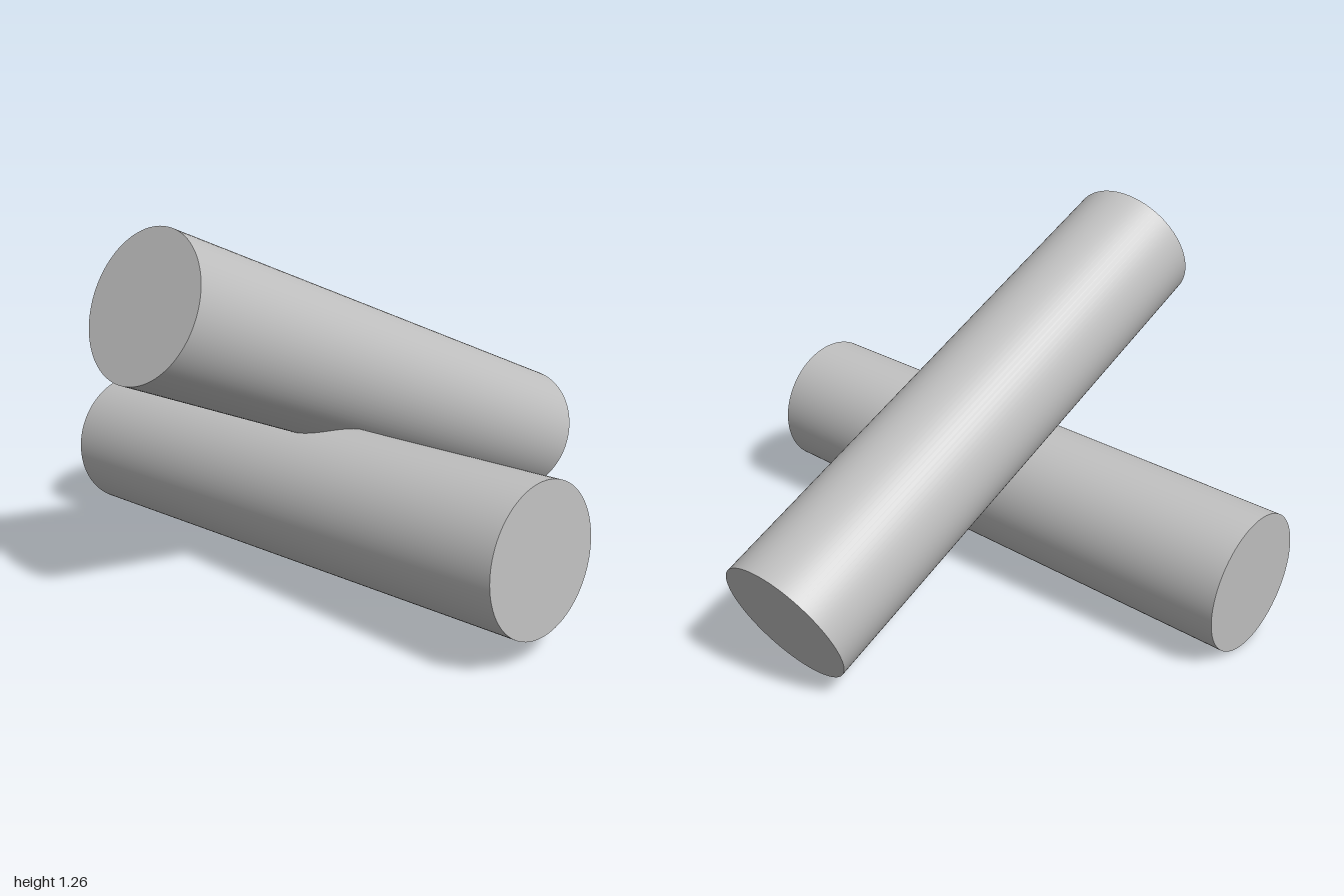
import * as THREE from 'three';

const RADIUS = 0.242;
const LENGTH = 1.973;

export function createModel() {
  const model = new THREE.Group();
  model.name = 'crossedCylinders';

  const grey = new THREE.MeshStandardMaterial({ color: 0xc0c0c0 });
  grey.name = 'light grey';

  // Both rods share one solid, smooth-sided cylinder
  const rodGeometry = new THREE.CylinderGeometry(RADIUS, RADIUS, LENGTH, 96);

  function addRod(name, centre, direction) {
    const rod = new THREE.Mesh(rodGeometry, grey);
    rod.name = name;
    rod.position.set(...centre);
    rod.quaternion.setFromUnitVectors(
      new THREE.Vector3(0, 1, 0),
      new THREE.Vector3(...direction).normalize()
    );
    model.add(rod);
  }

  // Lower rod, running side to side and rising slightly to the left
  addRod('crossRod', [-0.001, 0.289, 0.247], [1.97, 0.087, 0]);

  // Upper rod, running back to front and resting on the lower one
  addRod('leaningRod', [0, 0.635, 0], [0, 0.807, 1.8]);

  return model;
}
